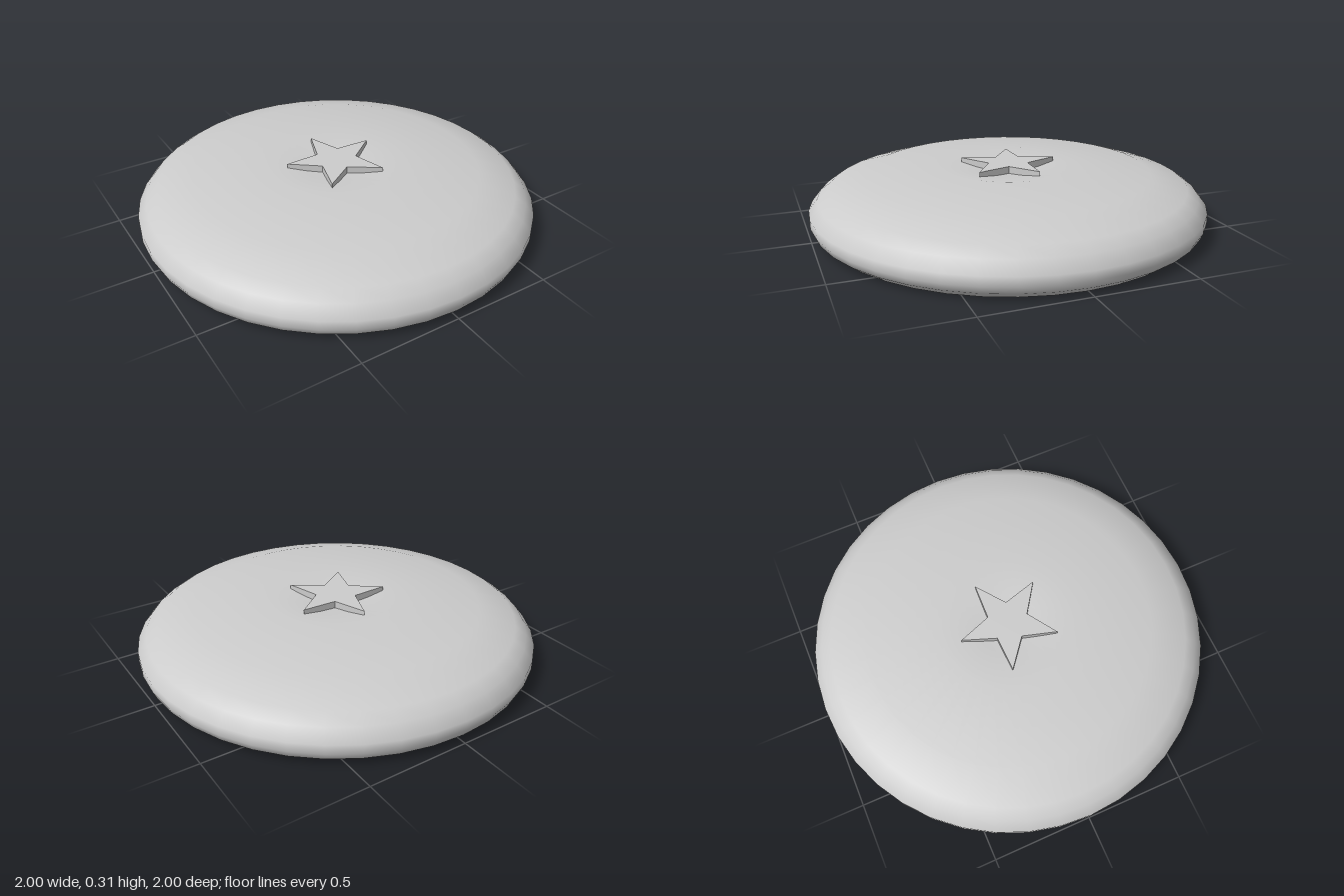
import * as THREE from 'three';

const SEGMENTS = 40;

// Revolved surface from [radius, height] pairs
function lathe(name, profile, material) {
  const points = profile.map(([r, y]) => new THREE.Vector2(r, y));
  const mesh = new THREE.Mesh(new THREE.LatheGeometry(points, SEGMENTS), material);
  mesh.name = name;
  return mesh;
}

export function createModel() {
  const model = new THREE.Group();
  model.name = 'flyingDisc';
  const grey = new THREE.MeshStandardMaterial({ color: 0xcccccc });
  grey.name = 'light grey';

  // Rounded outer wall and domed top with a shallow dip in the middle
  model.add(lathe('discShell', [
    [0.94, 0], [0.985, 0.035], [1, 0.07], [1, 0.115], [0.955, 0.17],
    [0.9, 0.21], [0.72, 0.265], [0.33, 0.298], [0.16, 0.277], [0, 0.27],
  ], grey));

  // Hollowed underside, meeting the wall in a sharp rim
  model.add(lathe('underside', [
    [0, 0.13], [0.4, 0.125], [0.65, 0.1], [0.82, 0.05], [0.94, 0],
  ], grey));

  // Raised five-pointed star, one tip towards the back
  const star = new THREE.Shape();
  for (let i = 0; i < 10; i++) {
    const angle = Math.PI / 2 + (i * Math.PI) / 5;
    const r = i % 2 ? 0.103 : 0.25;
    const x = r * Math.cos(angle), y = r * Math.sin(angle);
    if (i === 0) star.moveTo(x, y); else star.lineTo(x, y);
  }
  star.closePath();
  const geometry = new THREE.ExtrudeGeometry(star, { depth: 0.06, bevelEnabled: false });
  geometry.rotateX(-Math.PI / 2);
  const starMesh = new THREE.Mesh(geometry, grey);
  starMesh.name = 'raisedStar';
  starMesh.position.y = 0.25;
  model.add(starMesh);

  return model;
}
